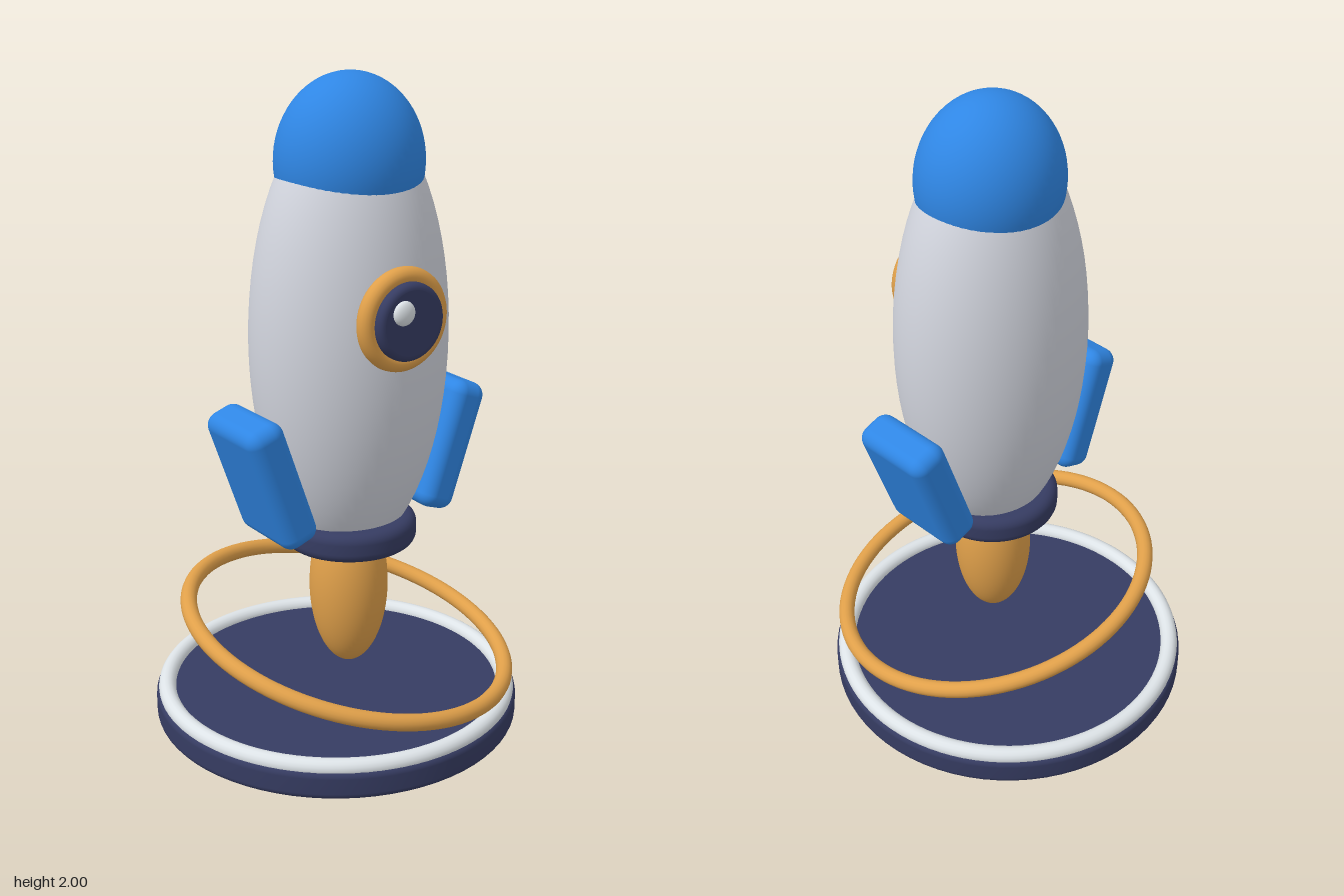
import * as THREE from 'three';
import { RoundedBoxGeometry } from 'three/addons/geometries/RoundedBoxGeometry.js';

const material = (name, color) => {
  const m = new THREE.MeshStandardMaterial({ color });
  m.name = name;
  return m;
};

// Solid disc with rounded edges, standing on y = 0
function roundedDisc(radius, height, bevel) {
  const points = [new THREE.Vector2(0, 0), new THREE.Vector2(radius - bevel - 0.001, 0)];
  const arc = (cy, start) => {
    for (let i = 0; i <= 6; i++) {
      const a = start + (i / 6) * Math.PI / 2;
      points.push(new THREE.Vector2(radius - bevel + bevel * Math.cos(a), cy + bevel * Math.sin(a)));
    }
  };
  arc(bevel, -Math.PI / 2);
  arc(height - bevel, 0);
  points.push(new THREE.Vector2(radius - bevel - 0.001, height), new THREE.Vector2(0, height));
  return new THREE.LatheGeometry(points, 72);
}

const ellipsoid = (rx, ry, rz) => new THREE.SphereGeometry(1, 56, 36).scale(rx, ry, rz);

export function createModel() {
  const model = new THREE.Group();
  model.name = 'rocketOnStand';

  const hullGrey = material('hullGrey', 0xd2d5de);
  const paleTrim = material('paleTrim', 0xdee4e8);
  const blue = material('blue', 0x2f86e4);
  const navy = material('navy', 0x363c62);
  const gold = material('gold', 0xe0a04a);

  const add = (parent, name, geometry, mat, x = 0, y = 0, z = 0) => {
    const mesh = new THREE.Mesh(geometry, mat);
    mesh.name = name;
    mesh.position.set(x, y, z);
    parent.add(mesh);
    return mesh;
  };

  // Stand: rounded disc with a pale rim
  add(model, 'base', roundedDisc(0.567, 0.092, 0.022), navy, 0, 0, -0.012);
  add(model, 'baseRim', new THREE.TorusGeometry(0.533, 0.027, 16, 96).rotateX(Math.PI / 2),
    paleTrim, 0, 0.092, -0.012);

  // Tilted orbit ring around the flame
  const orbit = add(model, 'orbitRing', new THREE.TorusGeometry(0.502, 0.025, 16, 96), gold, 0, 0.299, 0.057);
  orbit.quaternion.setFromUnitVectors(
    new THREE.Vector3(0, 0, 1), new THREE.Vector3(0.18, 1, 0.175).normalize());

  // Rocket, turned slightly about its own axis
  const rocket = new THREE.Group();
  rocket.name = 'rocket';
  rocket.position.z = 0.061;
  rocket.rotation.y = 0.05;
  model.add(rocket);

  add(rocket, 'hull', ellipsoid(0.305, 0.68, 0.262), hullGrey, 0, 1.24, 0);
  add(rocket, 'nose', ellipsoid(0.22, 0.25, 0.204), blue, 0, 1.75, 0);
  add(rocket, 'collar', roundedDisc(0.204, 0.09, 0.03), navy, 0, 0.6, 0);
  add(rocket, 'flame', ellipsoid(0.12, 0.26, 0.12), gold, 0, 0.455, 0);

  // Side fins leaning outwards
  for (const side of [1, -1]) {
    const fin = add(rocket, side > 0 ? 'leftFin' : 'rightFin',
      new RoundedBoxGeometry(0.122, 0.402, 0.272, 5, 0.04), blue, side * 0.306, 0.868, 0);
    fin.rotation.z = -side * 0.34;
  }

  // Porthole: gold ring, dark glass and a glint
  const porthole = new THREE.Group();
  porthole.name = 'porthole';
  porthole.position.set(0, 1.346, 0.253);
  rocket.add(porthole);
  add(porthole, 'portholeRing', new THREE.TorusGeometry(0.123, 0.027, 16, 64), gold);
  add(porthole, 'portholeGlass', roundedDisc(0.112, 0.045, 0.018).rotateX(Math.PI / 2), navy, 0, 0, 0.006);
  add(porthole, 'portholeGlint', ellipsoid(0.035, 0.035, 0.018), paleTrim, -0.034, 0.034, 0.054);

  return model;
}
